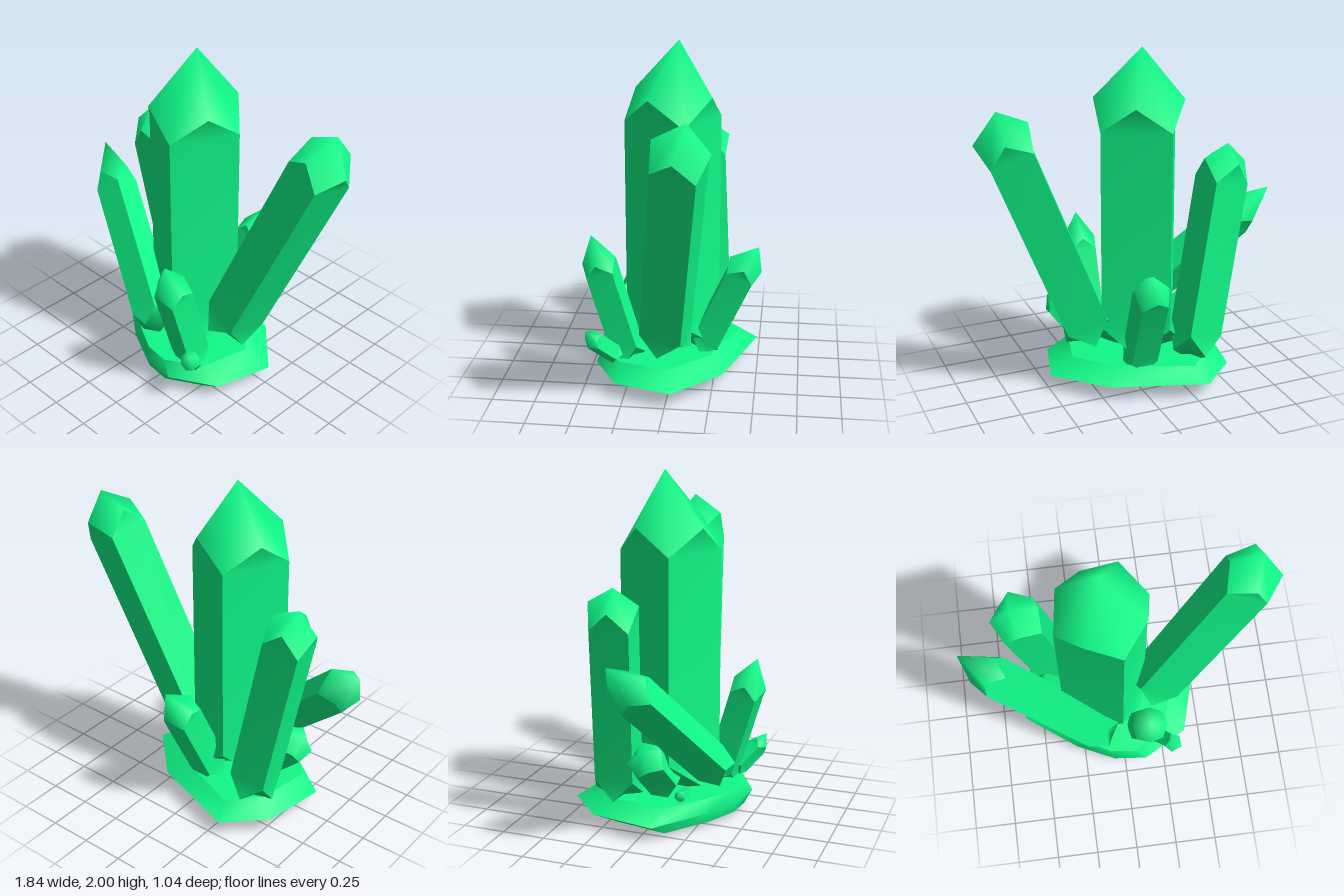
import * as THREE from 'three';
import { mergeGeometries, toCreasedNormals } from 'three/addons/utils/BufferGeometryUtils.js';

const V = (p) => new THREE.Vector3(...p);

function surface(points, index) {
  const g = new THREE.BufferGeometry().setFromPoints(points);
  g.setIndex(index);
  g.computeVertexNormals();
  return g;
}

// Four-sided crystal: corner rings at base and shoulder, raised mid-face points, pointed ends.
// facing is the direction one of the faces looks in.
function crystalGeometry({ base, shoulder, tip, r, mid, facing }) {
  const b = V(base), s = V(shoulder), t = V(tip);
  const axis = s.clone().sub(b).normalize();
  const u = V(facing).addScaledVector(axis, -V(facing).dot(axis)).normalize();
  const v = axis.clone().cross(u);
  const at = (centre, radius, angle, along) => centre.clone()
    .addScaledVector(u, radius * Math.cos(angle))
    .addScaledVector(v, radius * Math.sin(angle))
    .addScaledVector(axis, along);

  // Eight-point zigzag rings: even = corner, odd = middle of a face
  const top = [], bottom = [];
  for (let k = 0; k < 8; k++) {
    const odd = k % 2, a = (k - 1) * Math.PI / 4;
    top.push(at(s, odd ? r * 0.92 : r, a, odd ? mid : 0));
    bottom.push(at(b, odd ? r * 0.9 : r, a, odd ? -mid : 0));
  }
  const end = b.clone().addScaledVector(axis, -mid * 1.6);

  const parts = [];
  // Side faces, each smooth by itself so the long edges stay sharp
  for (let k = 0; k < 8; k += 2) {
    const n = (k + 2) % 8;
    parts.push(surface(
      [bottom[k], bottom[k + 1], bottom[n], top[n], top[k + 1], top[k]],
      [0, 1, 2, 0, 2, 3, 0, 3, 5, 5, 3, 4]));
  }
  // Smooth pointed ends
  const upper = [], lower = [];
  for (let k = 0; k < 8; k++) {
    upper.push(k, (k + 1) % 8, 8);
    lower.push((k + 1) % 8, k, 8);
  }
  parts.push(surface([...top, t], upper), surface([...bottom, end], lower));
  return mergeGeometries(parts);
}

// Flat rock slab: an irregular outline with a bevel above and below its widest ring
function slabGeometry() {
  const outline = [
    [-0.61, 0.09], [-0.3, 0.32], [-0.07, 0.43], [0.13, 0.45], [0.4, 0.3],
    [0.495, -0.035], [0.22, -0.31], [-0.32, -0.49], [-0.54, -0.29],
  ];
  // x scale, z scale, x shift, z shift, height
  const rings = [
    [0.78, 0.8, -0.03, 0.06, 0.025],
    [1, 1, 0, 0, 0.09],
    [0.76, 0.85, -0.035, 0.035, 0.165],
  ];
  const n = outline.length, points = [], rim = [], caps = [];
  for (const [sx, sz, dx, dz, y] of rings) {
    for (const [x, z] of outline) points.push(V([x * sx + dx, y, z * sz + dz]));
  }
  const low = points.push(V([0, 0, 0.1])) - 1;
  const high = points.push(V([0, 0.175, 0])) - 1;
  const last = (rings.length - 1) * n;
  for (let i = 0; i < n; i++) {
    const k = (i + 1) % n;
    for (let j = 0; j < last; j += n) {
      rim.push(j + i, j + k, j + k + n, j + i, j + k + n, j + i + n);
    }
    caps.push(low, k, i, high, last + i, last + k);
  }
  return mergeGeometries([rim, caps].map((index) => toCreasedNormals(surface(points, index), 0.8)));
}

const crystals = {
  mainCrystal: { base: [-0.085, 0.36, 0.012], shoulder: [-0.085, 1.55, 0.012], tip: [-0.09, 2, -0.02],
    r: 0.284, mid: 0.15, facing: [0.89, 0, 0.454] },
  tallLeftCrystal: { base: [0.265, 0.41, 0.015], shoulder: [0.724, 1.51, -0.11], tip: [0.8, 1.75, -0.15],
    r: 0.174, mid: 0.12, facing: [1, 0, 0.15] },
  leaningRightCrystal: { base: [-0.17, 0.345, 0.285], shoulder: [-0.73, 0.882, 0.055], tip: [-0.92, 1.08, -0.03],
    r: 0.125, mid: 0.09, facing: [0.24, 0.25, 0.94] },
  backRightCrystal: { base: [-0.37, 0.3, -0.2], shoulder: [-0.54, 1.21, -0.145], tip: [-0.585, 1.42, -0.13],
    r: 0.155, mid: 0.12, facing: [0.12, 0, 1] },
  frontCrystal: { base: [0.135, 0.22, 0.27], shoulder: [0.14, 0.68, 0.403], tip: [0.14, 0.9, 0.465],
    r: 0.112, mid: 0.07, facing: [-0.05, 0, 1] },
  backCrystal: { base: [-0.01, 0.22, -0.2], shoulder: [0.015, 0.645, -0.395], tip: [0.045, 0.83, -0.5],
    r: 0.113, mid: 0.07, facing: [-0.05, 0, 1] },
  stubbyCrystal: { base: [-0.32, 0.27, 0.04], shoulder: [-0.475, 0.42, 0.02], tip: [-0.56, 0.51, 0.02],
    r: 0.11, mid: 0.06, facing: [0.3, 0.4, 1] },
  smallFrontCrystal: { base: [0.22, 0.2, 0.34], shoulder: [0.295, 0.3, 0.425], tip: [0.335, 0.38, 0.475],
    r: 0.06, mid: 0.035, facing: [0, 0.3, 1] },
  tinyCrystal: { base: [-0.28, 0.19, 0.17], shoulder: [-0.36, 0.195, 0.17], tip: [-0.41, 0.205, 0.17],
    r: 0.033, mid: 0.015, facing: [0, 0.2, 1] },
};

export function createModel() {
  const group = new THREE.Group();
  group.name = 'crystalCluster';
  const material = new THREE.MeshStandardMaterial({ color: 0x10f888 });
  const add = (name, geometry) => {
    const mesh = new THREE.Mesh(geometry, material);
    mesh.name = name;
    group.add(mesh);
  };
  add('rockBase', slabGeometry());
  for (const [name, spec] of Object.entries(crystals)) add(name, crystalGeometry(spec));
  return group;
}
